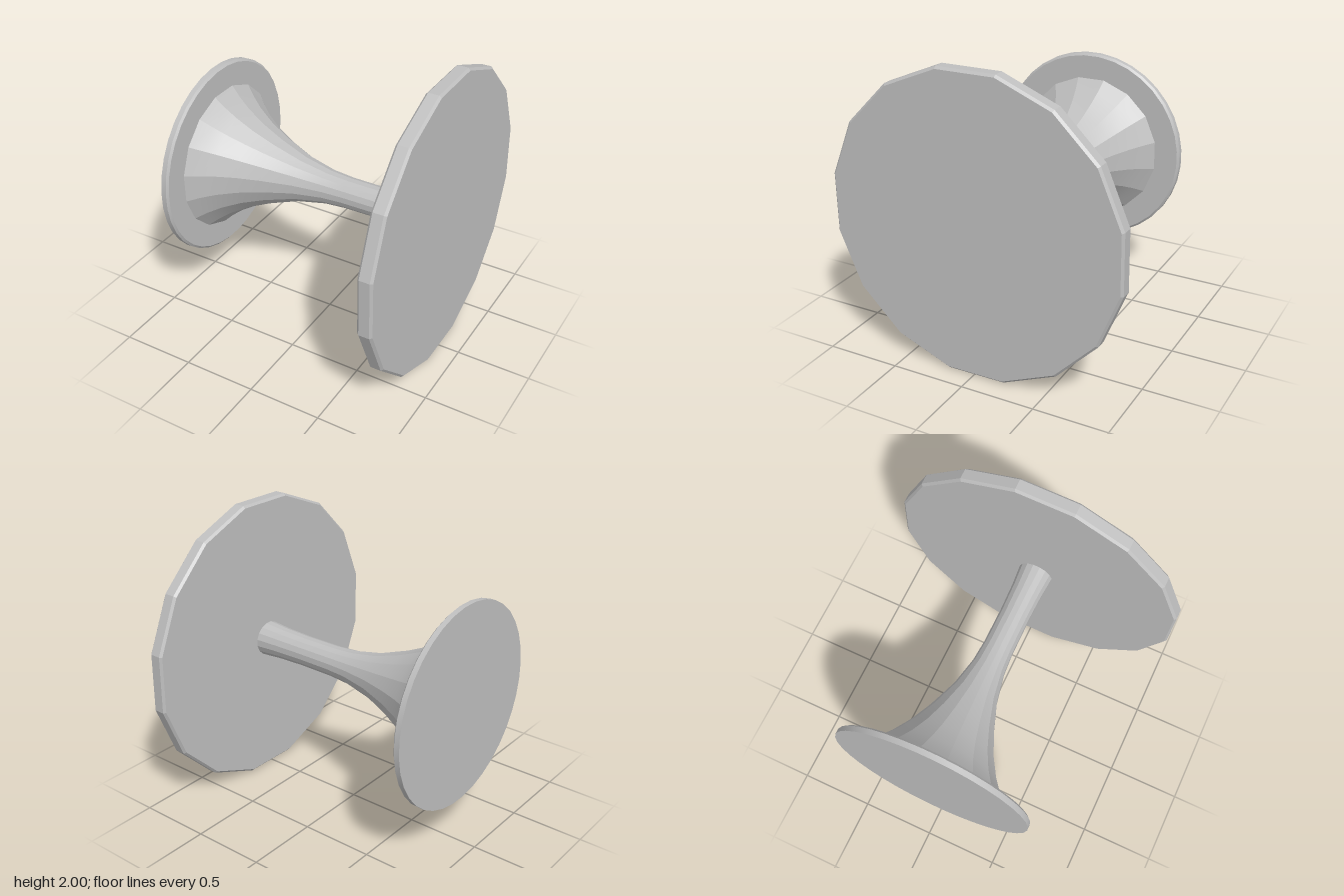
import * as THREE from 'three';
import { toCreasedNormals } from 'three/addons/utils/BufferGeometryUtils.js';

const metal = new THREE.MeshStandardMaterial({ color: 0xbfbfbf });
metal.name = 'plainGrey';

// Turns a profile of [radius, x] points around the x axis
function turned(name, profile, sides, crease) {
  const points = profile.map(([r, x]) => new THREE.Vector2(r, x));
  const twist = Math.PI / sides + THREE.MathUtils.degToRad(0.8);
  const lathe = new THREE.LatheGeometry(points, sides, twist);
  lathe.rotateZ(-Math.PI / 2);
  const mesh = new THREE.Mesh(toCreasedNormals(lathe, crease), metal);
  mesh.name = name;
  return mesh;
}

export function createModel() {
  const group = new THREE.Group();
  group.name = 'flangedKnob';

  // Small round mounting flange with one softened edge
  group.add(turned('mountingFlange', [
    [0, -0.866], [0.68, -0.866], [0.68, -0.83], [0.665, -0.817], [0, -0.817],
  ], 36, 0.25));

  // Flared stem, faceted around and smooth along its length
  group.add(turned('flaredStem', [
    [0.51, -0.82], [0.44, -0.75], [0.375, -0.67], [0.3, -0.55], [0.23, -0.4],
    [0.157, -0.2], [0.115, 0], [0.104, 0.15], [0.102, 0.4], [0.108, 0.6], [0.122, 0.78],
  ], 16, 0.2));

  // Large sixteen-sided disc with narrow bevels
  group.add(turned('largeDisc', [
    [0, 0.756], [1.0, 0.756], [1.015, 0.771], [1.015, 0.841], [1.0, 0.856], [0, 0.856],
  ], 16, 0.2));

  // The axis leans very slightly
  group.rotation.z = 0.005;
  group.position.y = 1;
  const root = new THREE.Group();
  root.name = 'knob';
  root.add(group);
  return root;
}
